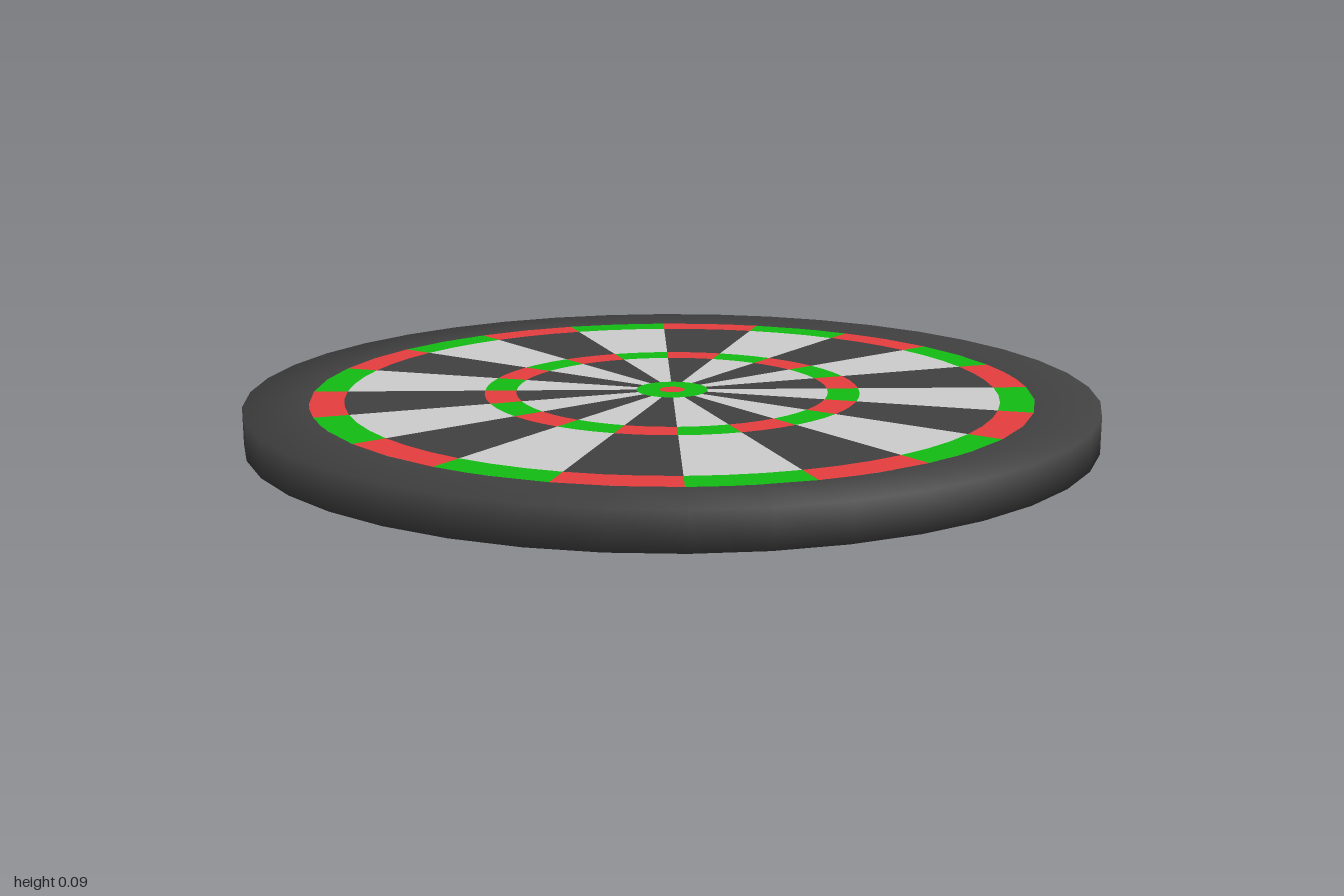
import * as THREE from 'three';
import { mergeGeometries } from 'three/addons/utils/BufferGeometryUtils.js';

const TOP = 0.086;
const SECTORS = 20;
const STEP = (Math.PI * 2) / SECTORS;

const paint = (color) => new THREE.MeshStandardMaterial({ color });
const dark = paint(0x404040);
const light = paint(0xcccccc);
const red = paint(0xe53d3d);
const green = paint(0x12bb12);

function addMesh(group, name, geometry, material) {
  const mesh = new THREE.Mesh(geometry, material);
  mesh.name = name;
  group.add(mesh);
}

// Flat ring slice lying on the board face
function slice(inner, outer, start, length, segments) {
  return new THREE.RingGeometry(inner, outer, segments, 1, start, length)
    .rotateX(-Math.PI / 2)
    .translate(0, TOP, 0);
}

// Every second sector of a ring, merged into one geometry
function alternate(inner, outer, first) {
  const parts = [];
  for (let i = first; i < SECTORS; i += 2) {
    parts.push(slice(inner, outer, (i - 0.5) * STEP, STEP, 2));
  }
  return mergeGeometries(parts);
}

export function createModel() {
  const board = new THREE.Group();
  board.name = 'dartboard';

  // Body: back, side wall and the flat outer border, softly shaded
  const profile = [[0, 0], [1, 0], [1, TOP], [0.85, TOP]].map(([r, y]) => new THREE.Vector2(r, y));
  addMesh(board, 'body', new THREE.LatheGeometry(profile, 40), dark);

  // Scoring rings from the outside in: even sectors, then odd sectors
  const rings = [
    ['doubleRing', 0.77, 0.85, green, red],
    ['outerSingles', 0.445, 0.77, light, dark],
    ['trebleRing', 0.37, 0.445, green, red],
    ['innerSingles', 0.085, 0.37, light, dark],
  ];
  for (const [name, inner, outer, even, odd] of rings) {
    const ring = new THREE.Group();
    ring.name = name;
    addMesh(ring, name + 'Even', alternate(inner, outer, 0), even);
    addMesh(ring, name + 'Odd', alternate(inner, outer, 1), odd);
    board.add(ring);
  }

  // Centre
  addMesh(board, 'outerBull', slice(0.03, 0.085, STEP / 2, Math.PI * 2, 40), green);
  const bull = new THREE.CircleGeometry(0.03, 40, STEP / 2).rotateX(-Math.PI / 2).translate(0, TOP, 0);
  addMesh(board, 'innerBull', bull, red);

  return board;
}
